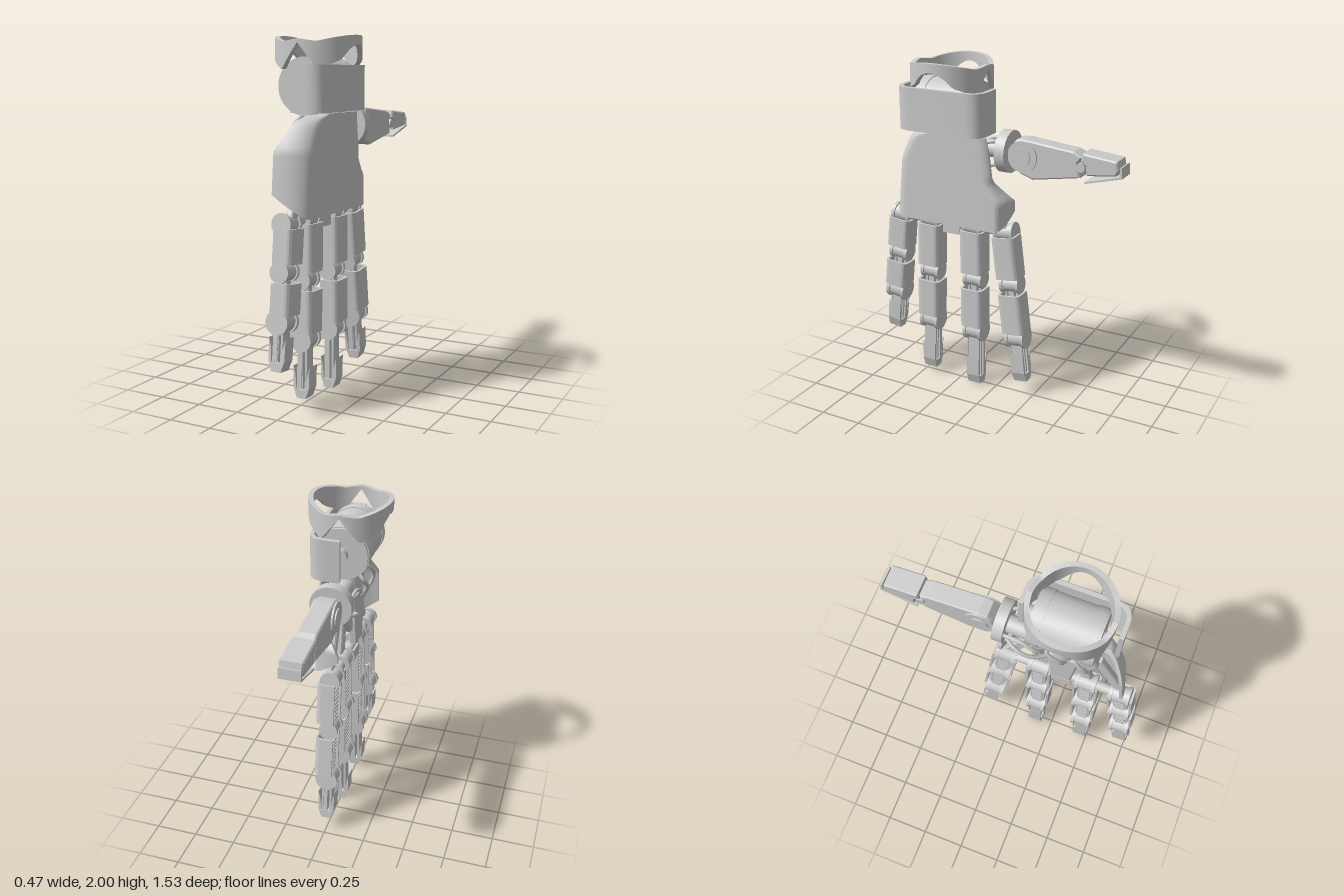
import * as THREE from 'three';
import { toCreasedNormals } from 'three/addons/utils/BufferGeometryUtils.js';

const mat = new THREE.MeshStandardMaterial({ color: 0xcccccc });
const matDouble = new THREE.MeshStandardMaterial({ color: 0xcccccc, side: THREE.DoubleSide });
const V = (x, y, z) => new THREE.Vector3(x, y, z);

function add(parent, name, geo, x = 0, y = 0, z = 0, m = mat) {
  const mesh = new THREE.Mesh(geo, m);
  mesh.name = name;
  mesh.position.set(x, y, z);
  parent.add(mesh);
  return mesh;
}
const box = (x, y, z) => new THREE.BoxGeometry(x, y, z);
const cylZ = (r, w, n = 32) => new THREE.CylinderGeometry(r, r, w, n).rotateX(Math.PI / 2);
const cylX = (r, w, n = 32) => new THREE.CylinderGeometry(r, r, w, n).rotateZ(Math.PI / 2);

// piecewise linear lookup in [[key, value], ...]
function lookup(t, k) {
  if (k <= t[0][0]) return t[0][1];
  for (let i = 1; i < t.length; i++) {
    const [a, va] = t[i - 1], [b, vb] = t[i];
    if (k <= b) return va + (vb - va) * (k - a) / (b - a);
  }
  return t[t.length - 1][1];
}

// outline of [z, y] points extruded along x, centred
function slabX(points, width, bevel = 0.008) {
  const shape = new THREE.Shape(points.map(([z, y]) => new THREE.Vector2(-z, y)));
  const g = new THREE.ExtrudeGeometry(shape, { depth: width - 2 * bevel, bevelEnabled: bevel > 0,
    bevelSize: bevel, bevelOffset: -bevel, bevelThickness: bevel, bevelSegments: 1 });
  return g.translate(0, 0, bevel - width / 2).rotateY(Math.PI / 2);
}

// channel open towards -x with rounded outer corners, extruded upwards
function channel(x0, x1, h, r, t, height) {
  const s = new THREE.Shape();
  s.moveTo(x0, -h).lineTo(x1 - r, -h).quadraticCurveTo(x1, -h, x1, -h + r);
  s.lineTo(x1, h - r).quadraticCurveTo(x1, h, x1 - r, h).lineTo(x0, h).lineTo(x0, h - t);
  s.lineTo(x1 - r, h - t).quadraticCurveTo(x1 - t, h - t, x1 - t, h - r);
  s.lineTo(x1 - t, -h + r).quadraticCurveTo(x1 - t, -h + t, x1 - r, -h + t).lineTo(x0, -h + t);
  const g = new THREE.ExtrudeGeometry(s, { depth: height, bevelEnabled: false, curveSegments: 10 });
  return toCreasedNormals(g.rotateX(-Math.PI / 2), 0.6);
}

// curved sheet with thickness: point(u, v, inside)
function sheet(point, nu, nv) {
  const pos = [], idx = [], row = 2 * (nv + 1);
  for (let i = 0; i <= nu; i++) {
    for (let j = 0; j <= nv; j++) pos.push(...point(i / nu, j / nv, 0));
    for (let j = nv; j >= 0; j--) pos.push(...point(i / nu, j / nv, 1));
  }
  for (let i = 0; i < nu; i++) for (let k = 0; k < row; k++) {
    const a = i * row + k, b = i * row + (k + 1) % row;
    idx.push(a, b, a + row, b, b + row, a + row);
  }
  for (const base of [0, nu * row]) for (let j = 0; j < nv; j++) {
    const a = base + j, c = base + row - 1 - j;
    idx.push(a, c, a + 1, a + 1, c, c - 1);
  }
  const g = new THREE.BufferGeometry();
  g.setAttribute('position', new THREE.Float32BufferAttribute(pos, 3));
  g.setIndex(idx);
  return toCreasedNormals(g, 0.6);
}

// shell over the back of the hand, wrapping around both edges
function handShell() {
  const outer = [[1.05, 0.66], [1.4, 0.625], [1.46, 0.6], [1.54, 0.56], [1.575, 0.52], [1.59, 0.44]];
  const inner = [[1.05, -0.1], [1.22, -0.1], [1.27, -0.06], [1.33, -0.02], [1.5, 0], [1.6, 0.01]];
  return sheet((u, v, inside) => {
    const littleSide = u < 0.5;
    const phi = Math.min(1, (littleSide ? u : 1 - u) / 0.35) * Math.PI / 2;
    const s = Math.sin(phi), c = Math.cos(phi);
    const depth = littleSide ? 0.19 : 0.15;
    const xn = 0.11 - depth * (1 - s);
    const bottom = 1.05 + (0.11 - xn) * 0.68;
    const top = 1.59 - Math.max(0, 0.02 - xn) * 1.9;
    const y = bottom + (top - bottom) * v;
    const z0 = lookup(inner, y) + 0.06, z1 = lookup(outer, y) - 0.1;
    const d = littleSide ? depth : lookup([[1.2, 0.15], [1.36, 0.03]], y);
    let z = littleSide ? z1 + 0.1 * c : z0 - 0.06 * c;
    if (u > 0.35 && u < 0.65) z = z1 + (z0 - z1) * (u - 0.35) / 0.3;
    const t = inside * 0.018;
    return [0.11 - d * (1 - s) - t * s, y, z + (littleSide ? -t : t) * c];
  }, 40, 24);
}

// half of the forearm collar, side = 1 or -1
function collarHalf(side) {
  const low = [[0, 1.96], [0.11, 1.82], [0.2, 1.87], [0.235, 1.95]];
  const high = [[0, 1.98], [0.1, 1.965], [0.2, 1.99], [0.235, 2]];
  return sheet((u, v, inside) => {
    const a = (u - 0.5) * Math.PI, k = 1 - inside * 0.12;
    const x = 0.235 * Math.cos(a);
    const y = lookup(low, x) * (1 - v) + lookup(high, x) * v;
    return [side * x * k, y, 0.28 + 0.232 * Math.sin(a) * k];
  }, 48, 2);
}

// finger hanging from its knuckle: joints j1, j2 and total length
function finger(name, z, tilt, j1, j2, len) {
  const g = new THREE.Group();
  g.name = name;
  g.position.set(0, 1.03, z);
  g.rotation.x = -tilt;
  [[0, 0.058], [j1, 0.056], [j2, 0.066]].forEach(([d, r]) => {
    add(g, 'jointDrum', cylZ(r * 0.85, 0.085), 0, -d, 0);
    for (const s of [-1, 1]) add(g, 'jointDisc', cylZ(r, 0.02), 0, -d, s * 0.05);
  });
  // covered bones with a ribbed inner side
  [[0.02, j1 - 0.045], [j1 + 0.055, j2 - 0.04]].forEach(([a, b]) => {
    add(g, 'boneCover', channel(-0.035, 0.075, 0.074, 0.035, 0.014, b - a), 0, -b, 0);
    for (let d = a + 0.03; d < b - 0.01; d += 0.026) add(g, 'boneRib', box(0.035, 0.015, 0.06), -0.012, -d, 0);
  });
  for (const s of [-1, 1]) {
    add(g, 'boneRail', box(0.03, j2, 0.012), 0, -j2 / 2, s * 0.038);
    add(g, 'tipRail', box(0.02, len - j2 - 0.06, 0.006), 0, -(j2 + len - 0.06) / 2, s * 0.052);
  }
  add(g, 'boneCore', box(0.03, j2, 0.035), 0.01, -j2 / 2, 0);
  // fingertip
  const tipLen = len - j2 - 0.03;
  for (const x of [-0.024, 0, 0.024]) add(g, 'tipRod', box(0.012, tipLen, 0.07), x, -j2 - tipLen / 2, 0);
  const cup = new THREE.Shape([[-0.05, 0.18], [-0.048, 0.06], [-0.028, 0], [0.028, 0], [0.048, 0.06], [0.05, 0.18],
    [0.036, 0.13], [0.03, 0.05], [-0.03, 0.05], [-0.036, 0.13]].map(p => new THREE.Vector2(...p)));
  add(g, 'fingertip', new THREE.ExtrudeGeometry(cup, { depth: 0.084, bevelEnabled: false }), 0, -len, -0.042);
  return g;
}

function thumb() {
  const g = new THREE.Group();
  g.name = 'thumb';
  add(g, 'thumbMount', cylZ(0.12, 0.06, 40), 0, 1.51, -0.075);
  const body = [[-0.12, 1.56], [-0.15, 1.595], [-0.2, 1.6], [-0.49, 1.57], [-0.54, 1.545], [-0.515, 1.51],
    [-0.515, 1.475], [-0.53, 1.43], [-0.25, 1.38], [-0.19, 1.4], [-0.13, 1.43], [-0.105, 1.5]];
  add(g, 'thumbBody', slabX(body, 0.11));
  add(g, 'thumbJoint', cylX(0.088, 0.13), 0, 1.505, -0.19);
  add(g, 'thumbJointCap', cylX(0.052, 0.145), 0, 1.505, -0.19);
  add(g, 'thumbPivot', cylX(0.026, 0.125, 20), 0, 1.49, -0.535);
  add(g, 'thumbTip', slabX([[-0.545, 1.57], [-0.74, 1.55], [-0.75, 1.5], [-0.735, 1.47], [-0.57, 1.45],
    [-0.565, 1.5], [-0.535, 1.525]], 0.13));
  add(g, 'thumbPad', slabX([[-0.765, 1.52], [-0.77, 1.46], [-0.56, 1.405], [-0.56, 1.415], [-0.755, 1.468],
    [-0.756, 1.52]], 0.12, 0));
  return g;
}

export function createModel() {
  const root = new THREE.Group();
  root.name = 'roboticHand';

  // wrist: collar, motor, cuff and neck
  for (const s of [1, -1]) add(root, 'forearmCollar', collarHalf(s), 0, 0, 0, matDouble);
  add(root, 'wristMotor', cylZ(0.15, 0.36, 48), 0, 1.733, 0.275);
  for (const s of [-1, 1]) {
    add(root, 'motorBand', cylZ(0.155, 0.05, 48), 0, 1.733, 0.275 + s * 0.14);
    add(root, 'motorHub', cylZ(0.04, 0.43, 24), 0, 1.733, 0.275);
  }
  add(root, 'wristCuff', channel(-0.015, 0.175, 0.275, 0.1, 0.025, 0.245), 0, 1.6, 0.285);
  add(root, 'neck', new THREE.CylinderGeometry(0.06, 0.075, 0.22, 24), 0, 1.53, 0.27);

  // palm
  add(root, 'handShell', handShell(), 0, 0, 0, matDouble);
  add(root, 'palmCore', slabX([[0.12, 1.5], [0.44, 1.5], [0.47, 1.38], [0.38, 1.2], [0.18, 1.2], [0.08, 1.38]], 0.09),
    0.01);
  add(root, 'palmPanel', slabX([[0.19, 1.42], [0.37, 1.42], [0.34, 1.1], [0.22, 1.1]], 0.05), -0.035);
  add(root, 'thumbMotor', cylZ(0.05, 0.2, 24), -0.01, 1.51, 0.05);
  add(root, 'knuckleAxle', cylZ(0.03, 0.74, 20), 0, 1.03, 0.28);
  add(root, 'knuckleBlock', box(0.08, 0.07, 0.115), 0, 1.005, 0.28);

  // fingers and the struts that carry them
  const fingers = [
    ['littleFinger', 0.63, 0.11, 0.25, 0.51, 0.77], ['ringFinger', 0.425, 0.03, 0.33, 0.66, 0.99],
    ['middleFinger', 0.14, 0, 0.33, 0.67, 1.025], ['indexFinger', -0.065, -0.12, 0.32, 0.66, 0.94]];
  for (const f of fingers) {
    root.add(finger(...f));
    const z = f[1], top = 0.27 + (z - 0.27) * 0.5;
    add(root, 'palmStrut', slabX([[z - 0.035, 1.03], [z + 0.035, 1.03], [top + 0.03, 1.4], [top - 0.03, 1.4]], 0.04),
      0.02);
  }
  root.add(thumb());

  // cables looping from the thumb mount and wrist into the palm
  const cables = [
    [V(-0.09, 1.53, -0.05), V(-0.1, 1.55, 0.05), V(-0.1, 1.5, 0.14), V(-0.03, 1.4, 0.2)],
    [V(-0.06, 1.43, -0.05), V(-0.1, 1.4, 0.04), V(-0.09, 1.36, 0.12), V(-0.03, 1.32, 0.2)],
    [V(0.05, 1.57, -0.05), V(0.07, 1.57, 0), V(0.06, 1.52, 0.1), V(0.02, 1.48, 0.16)],
    [V(0.06, 1.45, -0.05), V(0.06, 1.42, 0.02), V(0.04, 1.34, 0.05), V(0, 1.28, 0.18)],
    [V(-0.04, 1.6, 0.22), V(-0.1, 1.54, 0.2), V(-0.1, 1.46, 0.28), V(-0.04, 1.36, 0.3)],
    [V(-0.04, 1.6, 0.32), V(-0.1, 1.54, 0.36), V(-0.1, 1.46, 0.42), V(-0.03, 1.3, 0.4)]];
  for (const c of cables)
    add(root, 'cable', new THREE.TubeGeometry(new THREE.CatmullRomCurve3(c), 24, 0.011, 8));
  return root;
}
